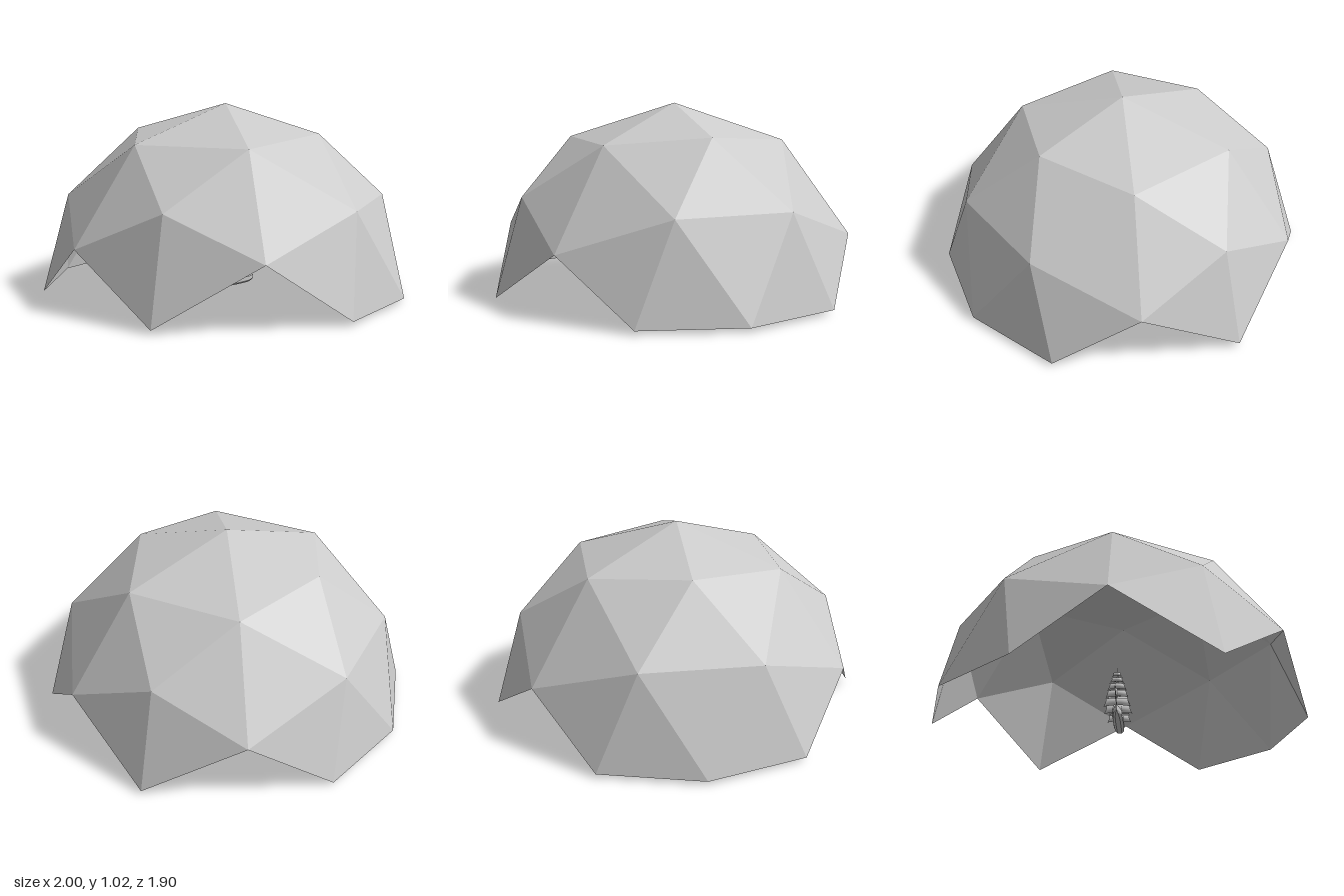
import * as THREE from 'three';

const grey = new THREE.MeshStandardMaterial({ color: 0xcccccc, side: THREE.DoubleSide });
grey.name = 'plain grey';

function add(parent, name, geometry) {
  const mesh = new THREE.Mesh(geometry, grey);
  mesh.name = name;
  parent.add(mesh);
  return mesh;
}

// Upper half of a once-divided icosahedron; only whole triangles above the base stay
function domeGeometry() {
  const sphere = new THREE.IcosahedronGeometry(1, 1);
  sphere.rotateY(Math.atan(2 / (1 + Math.sqrt(5))));
  const p = sphere.getAttribute('position');
  const kept = [];
  for (let i = 0; i < p.count; i += 3) {
    if (Math.min(p.getY(i), p.getY(i + 1), p.getY(i + 2)) < -0.01) continue;
    for (let k = i; k < i + 3; k++) kept.push(p.getX(k), p.getY(k), p.getZ(k));
  }
  const g = new THREE.BufferGeometry();
  g.setAttribute('position', new THREE.Float32BufferAttribute(kept, 3));
  g.computeVertexNormals();
  return g;
}

// Hull lofted from stations: [z, half width, keel height, rail height]
function hullGeometry() {
  const stations = [
    [-0.185, 0.018, 0.012, 0.042], [-0.15, 0.025, 0.002, 0.038], [-0.07, 0.028, 0, 0.032],
    [0.05, 0.028, 0, 0.03], [0.12, 0.023, 0, 0.033], [0.165, 0.012, 0.002, 0.037], [0.19, 0.001, 0.012, 0.04],
  ];
  const pos = [], index = [], n = 6;
  for (const [z, w, keel, rail] of stations) {
    const bilge = keel + (rail - keel) * 0.35;
    pos.push(w, rail, z, -w, rail, z, -w * 0.95, bilge, z, -w * 0.45, keel, z, w * 0.45, keel, z, w * 0.95, bilge, z);
  }
  for (let s = 0; s < stations.length - 1; s++) {
    for (let i = 0; i < n; i++) {
      const a = s * n + i, b = s * n + (i + 1) % n;
      index.push(a, a + n, b, b, a + n, b + n);
    }
  }
  const last = (stations.length - 1) * n;
  for (let i = 1; i < n - 1; i++) index.push(0, i, i + 1, last, last + i + 1, last + i);
  let g = new THREE.BufferGeometry();
  g.setAttribute('position', new THREE.Float32BufferAttribute(pos, 3));
  g.setIndex(index);
  g = g.toNonIndexed();
  g.computeVertexNormals();
  return g;
}

// Round spar between two points
function spar(parent, name, from, to, r) {
  const a = new THREE.Vector3(...from), b = new THREE.Vector3(...to);
  const mesh = add(parent, name, new THREE.CylinderGeometry(r * 0.7, r, a.distanceTo(b), 6));
  mesh.position.copy(a).add(b).multiplyScalar(0.5);
  mesh.quaternion.setFromUnitVectors(new THREE.Vector3(0, 1, 0), b.sub(a).normalize());
}

// Square sail, bellied forward and narrower at its head
function squareSail(foot, head, height) {
  const g = new THREE.PlaneGeometry(2, height, 6, 4);
  const p = g.getAttribute('position');
  for (let i = 0; i < p.count; i++) {
    const u = p.getX(i), v = p.getY(i) / height + 0.5;
    const half = foot + (head - foot) * v - 0.004 * Math.sin(Math.PI * v);
    p.setXYZ(i, u * half, p.getY(i) + 0.006 * (1 - v) * (1 - u * u), 0.016 * Math.sin(Math.PI * (0.15 + 0.7 * v)) * (1 - 0.5 * u * u));
  }
  g.computeVertexNormals();
  return g;
}

// Flat fore-and-aft sail from [z, y] corners
function staySail(corners) {
  const g = new THREE.ShapeGeometry(new THREE.Shape(corners.map(([z, y]) => new THREE.Vector2(z, y))));
  return g.rotateY(-Math.PI / 2);
}

function createShip() {
  const ship = new THREE.Group();
  ship.name = 'ship';
  add(ship, 'hull', hullGeometry());
  add(ship, 'deckHouse', new THREE.BoxGeometry(0.022, 0.012, 0.05)).position.set(0, 0.036, -0.055);

  // Gun ports along both sides
  for (const side of [-1, 1]) {
    for (let i = 0; i < 7; i++) {
      add(ship, 'gunPort', new THREE.BoxGeometry(0.003, 0.005, 0.006)).position.set(side * 0.0275, 0.022, -0.11 + i * 0.028);
    }
  }

  // Three masts, each with its yards and square sails
  const rows = [[0.055, 0.075, 0.061, 0.047], [0.108, 0.064, 0.051, 0.042], [0.155, 0.052, 0.04, 0.037],
    [0.197, 0.04, 0.028, 0.03], [0.232, 0.028, 0.02, 0.025]];
  for (const [z, scale] of [[0.12, 0.94], [0.005, 1], [-0.11, 0.86]]) {
    const mast = new THREE.Group();
    mast.name = 'mast';
    mast.position.z = z;
    ship.add(mast);
    spar(mast, 'mastPole', [0, 0.02, 0], [0, 0.29 * scale, 0], 0.003);
    for (const [y, foot, head, height] of rows) {
      const top = (y + height) * scale;
      add(mast, 'squareSail', squareSail(foot * scale, head * scale, height * scale)).position.set(0, top - height * scale / 2, 0.004);
      spar(mast, 'yard', [-head * scale - 0.004, top, 0.004], [head * scale + 0.004, top, 0.004], 0.0015);
    }
    // Shrouds
    for (const side of [-1, 1]) {
      for (const dz of [-0.016, -0.005]) spar(mast, 'shroud', [side * 0.026, 0.034, dz], [0, 0.16 * scale, 0], 0.0007);
    }
  }

  // Bowsprit, jibs and the gaff sail at the stern
  spar(ship, 'bowsprit', [0, 0.036, 0.165], [0, 0.085, 0.328], 0.003);
  const jibs = [[[0.32, 0.083], [0.245, 0.075], [0.225, 0.128]], [[0.268, 0.068], [0.205, 0.065], [0.185, 0.142]],
    [[0.222, 0.056], [0.165, 0.056], [0.15, 0.15]]];
  for (const corners of jibs) add(ship, 'jib', staySail(corners));
  spar(ship, 'forestay', [0, 0.084, 0.325], [0, 0.2, 0.12], 0.0007);
  add(ship, 'gaffSail', staySail([[-0.113, 0.055], [-0.19, 0.06], [-0.175, 0.13], [-0.113, 0.11]]));
  spar(ship, 'boom', [0, 0.054, -0.11], [0, 0.059, -0.195], 0.0015);
  spar(ship, 'gaff', [0, 0.11, -0.11], [0, 0.132, -0.178], 0.0015);
  return ship;
}

export function createModel() {
  const model = new THREE.Group();
  model.name = 'domeWithShip';
  add(model, 'dome', domeGeometry()).position.y = 0.02;
  model.add(createShip());
  return model;
}
